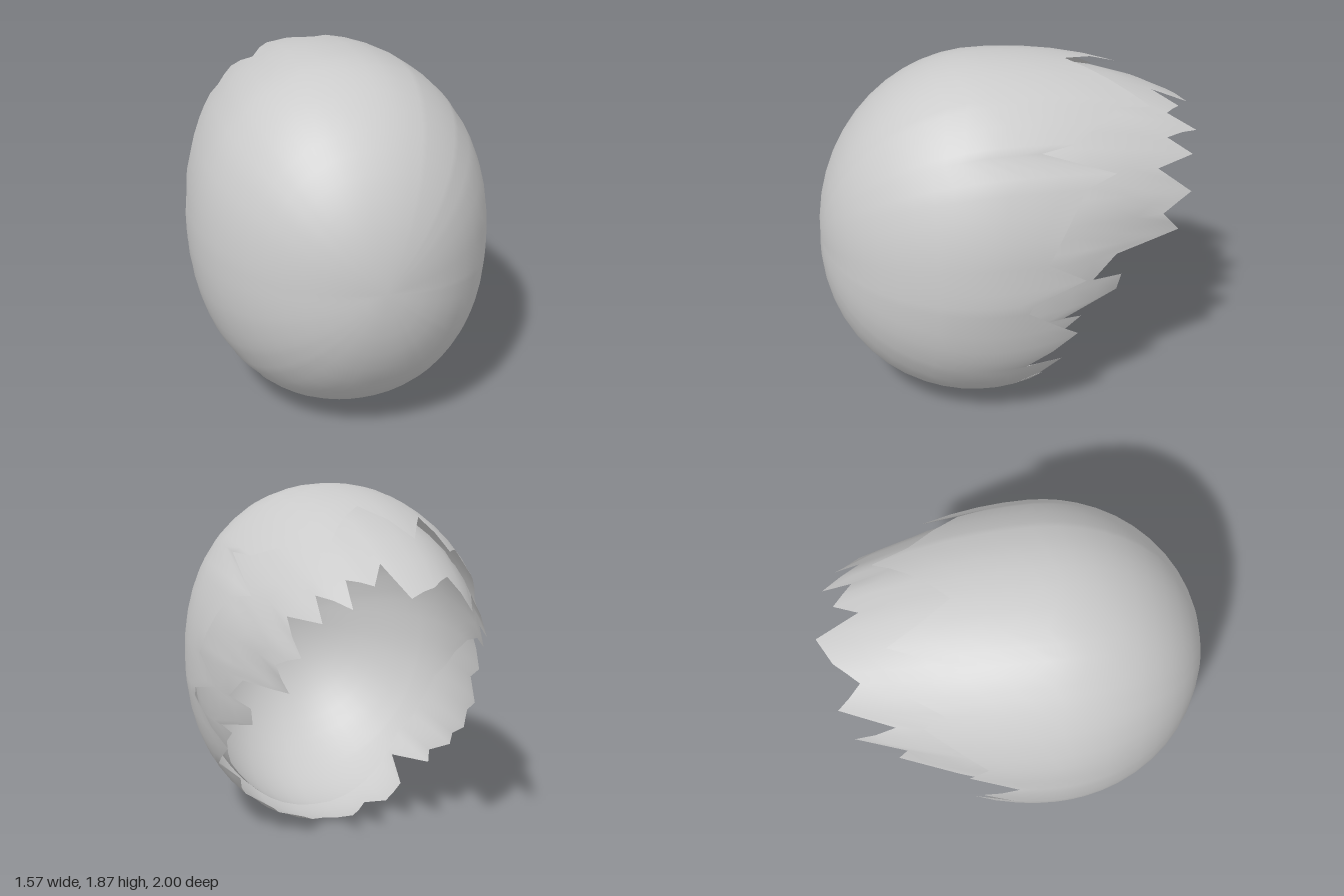
import * as THREE from 'three';

const CY = 0.935, CZ = 0.13; // centre of the shell

// Jagged rims as [angle around the z axis in degrees, z of the edge]
const outerRim = [
  [-4, 0.02], [0, -0.25], [7, -0.05], [30, -0.26], [35, -0.43], [43, -0.05], [46, -0.24],
  [62, -0.5], [65, -0.69], [90, -0.31], [104, -0.64], [115, -0.3], [124, -0.57],
  [133, -0.39], [139, -0.5], [148, -0.37], [160, -0.2], [167, -0.3], [174, -0.05],
  [183, -0.24], [188, -0.08], [194, -0.29], [199, -0.15], [205, -0.22], [210, -0.05],
  [214, -0.1], [221, 0.1], [225, 0.02],
  [233, 0.34], [239, 0.08], [249, 0], [256, 0.1], [265, -0.05], [275, 0], [288, -0.15],
  [296, -0.05], [301, -0.12], [309, 0.05], [323, -0.17], [327, 0.03], [338, -0.23],
  [345, -0.12], [353, 0.05],
];
const innerRim = [
  [-4, -0.47], [-2, -0.3], [5, -0.43], [7, -0.66], [9, -0.8], [18, -0.7], [27, -0.87],
  [38, -0.68], [46, -0.9], [53, -0.76], [62, -0.96], [68, -0.8], [78, -0.9], [86, -0.77],
  [92, -1], [107, -0.92], [118, -0.79], [133, -0.92], [141, -0.64], [152, -0.86], [157, -0.6],
  [165, -0.65], [170, -0.35], [176, -0.1], [183, 0.1], [195, 0.28],
  [225, 0.36], [245, 0.25], [270, 0.1], [300, 0], [325, -0.02], [338, -0.15],
  [343, -0.25], [345, -0.15], [349, -0.45],
];

// Add columns between widely spaced rim points and close the loop
function refine(rim) {
  const out = [];
  rim.forEach(([a, z], i) => {
    const next = i + 1 < rim.length ? rim[i + 1] : [rim[0][0] + 360, rim[0][1]];
    const n = Math.ceil((next[0] - a) / 8);
    for (let k = 0; k < n; k++) out.push([a + (next[0] - a) * k / n, z + (next[1] - z) * k / n]);
  });
  return out;
}

// Slightly squared oval dome that closes at the front and runs back to the rim
function shellGeometry(rim, [rx, ry, rz]) {
  const columns = refine(rim), n = columns.length;
  const capRows = 9, rows = 16, capEnd = 1.15; // even front cap, then rows that follow the rim
  const soft = (v) => Math.sign(v) * Math.pow(Math.abs(v), 0.93);
  const pos = [0, CY, CZ + rz], index = [];
  for (let j = 1; j <= rows; j++) {
    for (const [deg, zRim] of columns) {
      const a = THREE.MathUtils.degToRad(deg), s = Math.sin(a);
      const back = 1.1 + 0.4 * s; // the top reaches furthest back
      const end = Math.acos((zRim - CZ) / (zRim < CZ ? back : rz));
      const t = j <= capRows
        ? capEnd * j / capRows
        : capEnd + (end - capEnd) * (j - capRows) / (rows - capRows);
      const c = Math.cos(t), z = CZ + c * (c < 0 ? back : rz);
      const r = Math.sin(t) + 0.6 * Math.max(-z - 0.6, 0) * (1 - s); // side tips flare out
      const chin = 0.06 * Math.max(-s, 0) * r * Math.sqrt(Math.max(c + 0.2, 0)); // fuller lower front
      pos.push(rx * r * soft(Math.cos(a)), CY + ry * r * soft(s), z + chin);
    }
  }
  for (let i = 0; i < n; i++) {
    const k = (i + 1) % n;
    index.push(0, 1 + i, 1 + k);
    for (let j = 0; j < rows - 1; j++) {
      const a = 1 + j * n + i, b = 1 + j * n + k;
      index.push(a, a + n, b, b, a + n, b + n);
    }
  }
  const g = new THREE.BufferGeometry();
  g.setAttribute('position', new THREE.Float32BufferAttribute(pos, 3));
  g.setIndex(index);
  g.computeVertexNormals();
  return g;
}

export function createModel() {
  const group = new THREE.Group();
  const material = new THREE.MeshStandardMaterial({ color: 0xcccccc, side: THREE.DoubleSide });
  const add = (name, rim, radii) => {
    const mesh = new THREE.Mesh(shellGeometry(rim, radii), material);
    mesh.name = name;
    group.add(mesh);
  };
  add('outerShell', outerRim, [0.785, 0.935, 0.87]);
  add('innerShellWithFringe', innerRim, [0.742, 0.875, 0.825]);
  return group;
}
